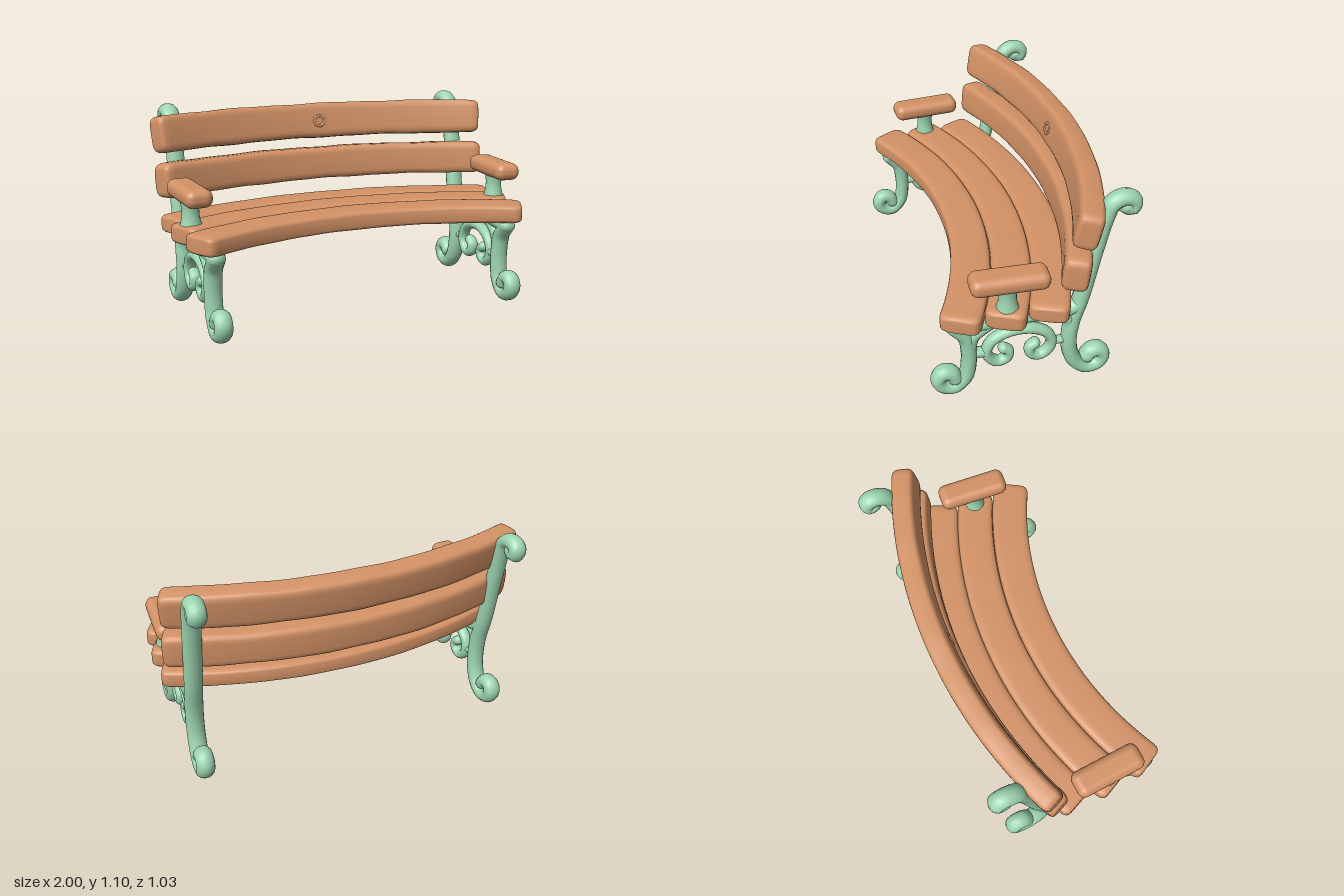
import * as THREE from 'three';
import { RoundedBoxGeometry } from 'three/addons/geometries/RoundedBoxGeometry.js';

const wood = new THREE.MeshStandardMaterial({ color: 0xd39266 });
wood.name = 'warm wood';
const iron = new THREE.MeshStandardMaterial({ color: 0x9dd5b1 });
iron.name = 'pale green iron';

const CENTRE_Z = 2.05; // all slats bend around this vertical axis

function addMesh(parent, name, geometry, material) {
  const mesh = new THREE.Mesh(geometry, material);
  mesh.name = name;
  parent.add(mesh);
  return mesh;
}

// Rounded plank swept along an arc of the given radius, leaning back by tilt
function slatGeometry({ radius, y, depth, height, endX, tilt = 0, seed = 0 }) {
  const rings = 40, sides = 24, roundLength = 0.055;
  const maxAngle = Math.asin(endX / radius);
  const stations = [];
  for (let i = 0; i <= 5; i++) stations.push(-1 + (roundLength * (1 - Math.cos((i / 5) * Math.PI / 2))));
  for (let i = 1; i < rings; i++) stations.push((-1 + roundLength) + (2 - 2 * roundLength) * i / rings);
  for (let i = 5; i >= 0; i--) stations.push(1 - (roundLength * (1 - Math.cos((i / 5) * Math.PI / 2))));
  const positions = [], index = [];
  const place = (a, u, v) => {
    const r = radius + u * Math.cos(tilt) + v * Math.sin(tilt);
    const h = y - u * Math.sin(tilt) + v * Math.cos(tilt);
    positions.push(r * Math.sin(a), h, CENTRE_Z - r * Math.cos(a));
  };
  const power = (c) => Math.sign(c) * Math.pow(Math.abs(c), 0.42);
  for (const t of stations) {
    const u = Math.max(0, (Math.abs(t) - 1 + roundLength) / roundLength);
    const round = 0.62 + 0.38 * Math.pow(Math.max(0, 1 - u ** 2.5), 0.4);
    const wobble = 1 + 0.018 * Math.sin(t * 11 + seed) + 0.012 * Math.sin(t * 23 + seed * 2);
    for (let j = 0; j < sides; j++) {
      const p = (j / sides) * Math.PI * 2;
      place(t * maxAngle, power(Math.cos(p)) * depth / 2 * round, power(Math.sin(p)) * height / 2 * round * wobble);
    }
  }
  const last = stations.length - 1;
  for (let i = 0; i < last; i++) {
    for (let j = 0; j < sides; j++) {
      const k = (j + 1) % sides;
      const a = i * sides + j, b = i * sides + k, c = b + sides, d = a + sides;
      index.push(a, b, c, a, c, d);
    }
  }
  // End caps
  const start = positions.length / 3;
  place(-maxAngle, 0, 0);
  place(maxAngle, 0, 0);
  for (let j = 0; j < sides; j++) {
    const k = (j + 1) % sides;
    index.push(start, k, j, start + 1, last * sides + j, last * sides + k);
  }
  const geometry = new THREE.BufferGeometry();
  geometry.setAttribute('position', new THREE.Float32BufferAttribute(positions, 3));
  geometry.setIndex(index);
  geometry.computeVertexNormals();
  return geometry;
}

// Iron bar through [z, y] points, with ball ends, widened sideways
function bar(parent, name, points, radius, widen = 1.2) {
  const group = new THREE.Group();
  group.name = name;
  group.scale.x = widen;
  const path = points.map(([z, y]) => new THREE.Vector3(0, y, z));
  const curve = new THREE.CatmullRomCurve3(path, false, 'centripetal');
  addMesh(group, name + 'Bar', new THREE.TubeGeometry(curve, points.length * 7, radius, 14), iron);
  for (const end of [path[0], path[path.length - 1]]) {
    addMesh(group, name + 'End', new THREE.SphereGeometry(radius, 14, 10), iron).position.copy(end);
  }
  parent.add(group);
}

// Cast side frame with scrolled feet
function sideFrame() {
  const frame = new THREE.Group();
  bar(frame, 'backPost', [
    [-0.435, 1.025], [-0.462, 1.01], [-0.474, 1.04], [-0.455, 1.062], [-0.415, 1.068], [-0.37, 1.045],
    [-0.343, 0.98], [-0.303, 0.8], [-0.25, 0.52], [-0.213, 0.38], [-0.2, 0.28], [-0.206, 0.18],
    [-0.238, 0.095], [-0.3, 0.046], [-0.362, 0.058], [-0.386, 0.105], [-0.365, 0.142], [-0.325, 0.142], [-0.303, 0.115],
  ], 0.041);
  bar(frame, 'frontLeg', [
    [0.385, 0.435], [0.335, 0.37], [0.318, 0.28], [0.318, 0.2], [0.334, 0.115], [0.395, 0.054],
    [0.455, 0.071], [0.475, 0.115], [0.45, 0.152], [0.41, 0.145], [0.39, 0.11],
  ], 0.04);
  bar(frame, 'seatRail', [[0.39, 0.44], [0.2, 0.447], [0, 0.45], [-0.14, 0.44], [-0.23, 0.47]], 0.04);
  bar(frame, 'frontGusset', [[0.318, 0.27], [0.295, 0.37], [0.2, 0.445]], 0.036);
  bar(frame, 'backGusset', [[-0.2, 0.3], [-0.19, 0.39], [-0.1, 0.445]], 0.036);
  // Ornamental scroll: one half, then its reflection
  const half = [[0.08, 0.35], [0.142, 0.312], [0.168, 0.25], [0.148, 0.198], [0.105, 0.173],
    [0.062, 0.192], [0.055, 0.232], [0.082, 0.254]];
  const mirrored = half.map(([z, y]) => [0.06 - z, y]).reverse();
  bar(frame, 'scroll', [...mirrored, [0.06, 0.364], ...half.map(([z, y]) => [0.06 + z, y])], 0.028);
  bar(frame, 'scrollJoint', [[0.24, 0.25], [0.3, 0.25]], 0.026);
  bar(frame, 'scrollBackJoint', [[-0.12, 0.25], [-0.18, 0.25]], 0.02);
  return frame;
}

export function createModel() {
  const bench = new THREE.Group();
  bench.name = 'gardenBench';

  // Seat and back planks
  const slats = {
    frontSeatSlat: { radius: 1.9, y: 0.513, depth: 0.205, height: 0.105, endX: 0.92, seed: 1 },
    middleSeatSlat: { radius: 2.105, y: 0.513, depth: 0.205, height: 0.105, endX: 0.95, seed: 2 },
    rearSeatSlat: { radius: 2.305, y: 0.513, depth: 0.2, height: 0.1, endX: 0.958, seed: 4 },
    lowerBackSlat: { radius: 2.422, y: 0.727, depth: 0.135, height: 0.185, endX: 0.972, tilt: 0.09, seed: 5 },
    upperBackSlat: { radius: 2.462, y: 0.97, depth: 0.125, height: 0.2, endX: 0.978, tilt: 0.19, seed: 7 },
  };
  for (const [name, size] of Object.entries(slats)) addMesh(bench, name, slatGeometry(size), wood);

  // Small knot in the upper back plank
  const knot = addMesh(bench, 'woodKnot', new THREE.TorusGeometry(0.03, 0.008, 8, 18), wood);
  knot.position.set(0, 0.975, -0.352);
  knot.rotation.x = -0.19;

  // Mirrored frames and armrests
  const armPostProfile = [[0.062, 0], [0.056, 0.03], [0.046, 0.07], [0.044, 0.11], [0.05, 0.15], [0.055, 0.18]]
    .map(([r, y]) => new THREE.Vector2(r, y));
  for (const [side, label] of [[1, 'left'], [-1, 'right']]) {
    const frame = sideFrame();
    frame.name = label + 'Frame';
    frame.position.x = side * 0.845;
    frame.rotation.y = -side * 0.045;
    bench.add(frame);

    const arm = new THREE.Group();
    arm.name = label + 'Armrest';
    arm.position.set(side * 0.89, 0, 0.133);
    arm.rotation.y = -side * 0.07;
    addMesh(arm, 'armPad', new RoundedBoxGeometry(0.142, 0.094, 0.385, 5, 0.042), wood).position.y = 0.722;
    addMesh(arm, 'armPost', new THREE.LatheGeometry(armPostProfile, 20), iron).position.set(0, 0.53, 0.007);
    bench.add(arm);
  }
  return bench;
}
